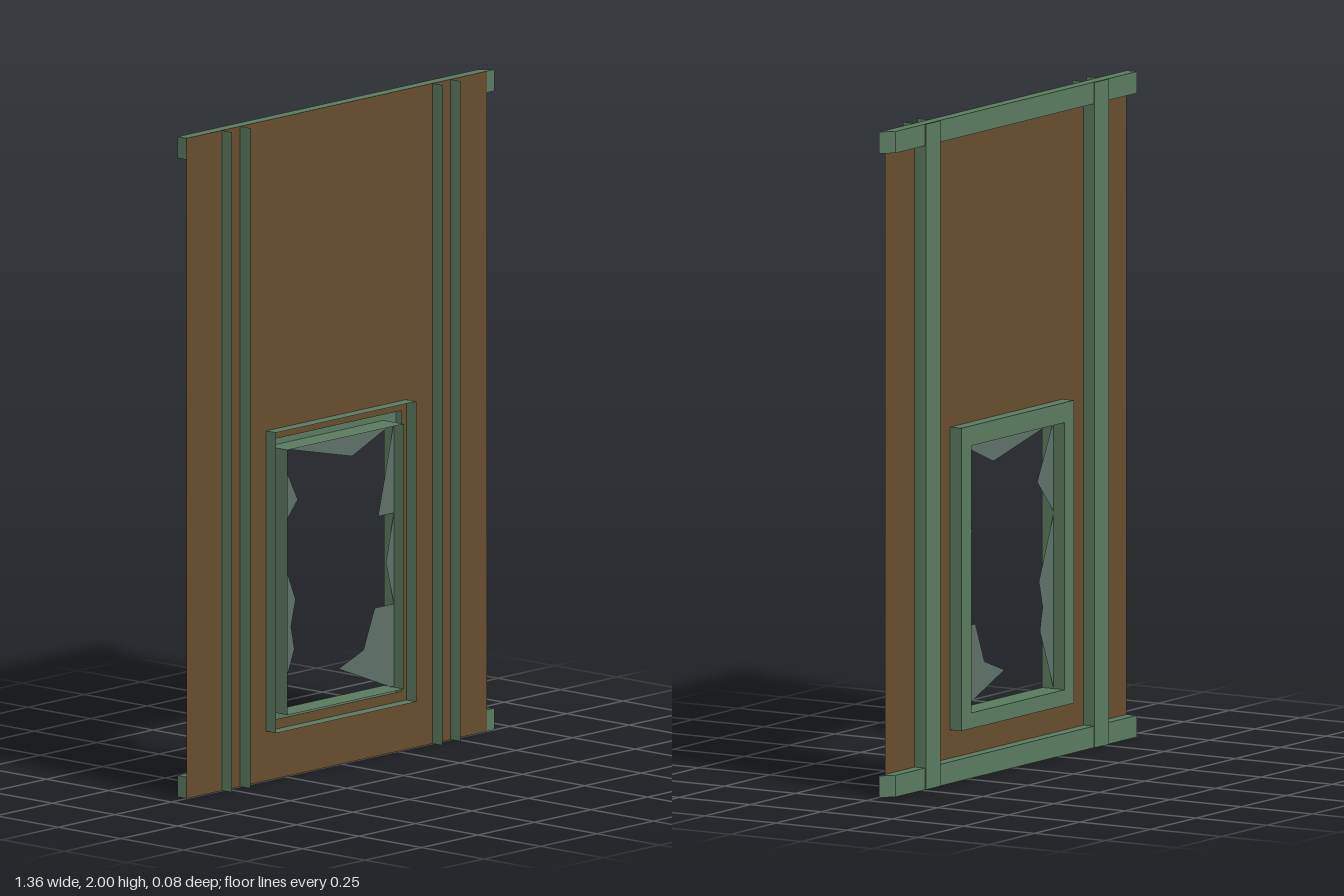
import * as THREE from 'three';
import { mergeGeometries } from 'three/addons/utils/BufferGeometryUtils.js';

const BACK = -0.04, FRONT = 0.04, DEPTH = FRONT - BACK;

const material = (name, color) =>
  new THREE.MeshStandardMaterial({ name, color, side: THREE.DoubleSide });

// Rectangle as a list of corner points
const rect = (x0, y0, x1, y1) =>
  [[x0, y0], [x1, y0], [x1, y1], [x0, y1]].map(([x, y]) => new THREE.Vector2(x, y));

// Thin sheet between two heights, standing along z at one x
const sideSheet = (x, y0, y1) =>
  new THREE.PlaneGeometry(DEPTH, y1 - y0).rotateY(Math.PI / 2).translate(x, (y0 + y1) / 2, 0);

// Thin sheet lying flat at one height
const flatSheet = (y, x0, x1) =>
  new THREE.PlaneGeometry(x1 - x0, DEPTH).rotateX(-Math.PI / 2).translate((x0 + x1) / 2, y, 0);

// Four sheets forming an open sleeve
const sleeve = (x0, y0, x1, y1) => [
  sideSheet(x0, y0, y1), sideSheet(x1, y0, y1),
  flatSheet(y0, x0, x1), flatSheet(y1, x0, x1),
];

// Flat face looking to the back
const backFace = (outer, hole) => {
  const shape = new THREE.Shape(outer);
  if (hole) shape.holes.push(new THREE.Path(hole));
  const face = new THREE.ShapeGeometry(shape);
  return face.rotateY(Math.PI).scale(-1, 1, 1).translate(0, 0, BACK);
};

export function createModel() {
  const group = new THREE.Group();
  const wood = material('brown panel', 0x664d2e);
  const metal = material('green frame', 0x5a7a5e);
  const glass = material('grey glass', 0x5e7067);

  const add = (name, geometry, mat) => {
    const mesh = new THREE.Mesh(geometry, mat);
    mesh.name = name;
    group.add(mesh);
  };

  // Wall sheet with the window cut out
  const wall = new THREE.Shape(rect(-0.682, 0, 0.648, 2));
  wall.holes.push(new THREE.Path(rect(-0.305, 0.18, 0.27, 1.03)));
  add('wallPanel', new THREE.ShapeGeometry(wall), wood);

  // Top and bottom rails, mitred at one end
  const railShape = new THREE.Shape([
    new THREE.Vector2(-0.682, 0.001), new THREE.Vector2(0.682, 0.001),
    new THREE.Vector2(0.648, 0.037), new THREE.Vector2(-0.682, 0.037),
  ]);
  for (const [name, y] of [['bottomRail', 0], ['topRail', 1.935]]) {
    const rail = new THREE.ExtrudeGeometry(railShape, { depth: 0.065, bevelEnabled: false });
    add(name, rail.rotateX(-Math.PI / 2).translate(0, y, 0), metal);
  }

  // Channel posts, open to the front
  for (const [name, x] of [['rightPost', -0.485], ['leftPost', 0.446]]) {
    const x0 = x - 0.04, x1 = x + 0.04;
    add(name, mergeGeometries([
      sideSheet(x0, 0, 2), sideSheet(x1, 0, 2), backFace(rect(x0, 0, x1, 2)),
    ]), metal);
  }

  // Window frame: outer sleeve, inner sleeve and back ring
  const outer = [-0.33, 0.15, 0.29, 1.06], inner = [-0.28, 0.197, 0.235, 1.0];
  add('windowFrame', mergeGeometries([
    ...sleeve(...outer), ...sleeve(...inner), backFace(rect(...outer), rect(...inner)),
  ]), metal);

  // Broken glass left along the edges
  const shards = {
    topShard: [[-0.28, 1], [0.05, 0.925], [0.235, 1]],
    upperRightShard: [[-0.28, 1], [-0.28, 0.73], [-0.19, 0.83]],
    lowerRightShard: [[-0.28, 0.72], [-0.28, 0.2], [-0.205, 0.38], [-0.22, 0.45], [-0.2, 0.53]],
    upperLeftShard: [[0.235, 1], [0.165, 0.725], [0.235, 0.725]],
    middleLeftShard: [[0.235, 0.725], [0.2, 0.58], [0.235, 0.45]],
    lowerLeftShard: [[0.235, 0.45], [0.15, 0.45], [0.1, 0.33], [-0.01, 0.29], [0.22, 0.2], [0.235, 0.2]],
  };
  for (const [name, points] of Object.entries(shards)) {
    const shape = new THREE.Shape(points.map(([x, y]) => new THREE.Vector2(x, y)));
    add(name, new THREE.ShapeGeometry(shape), glass);
  }

  return group;
}
